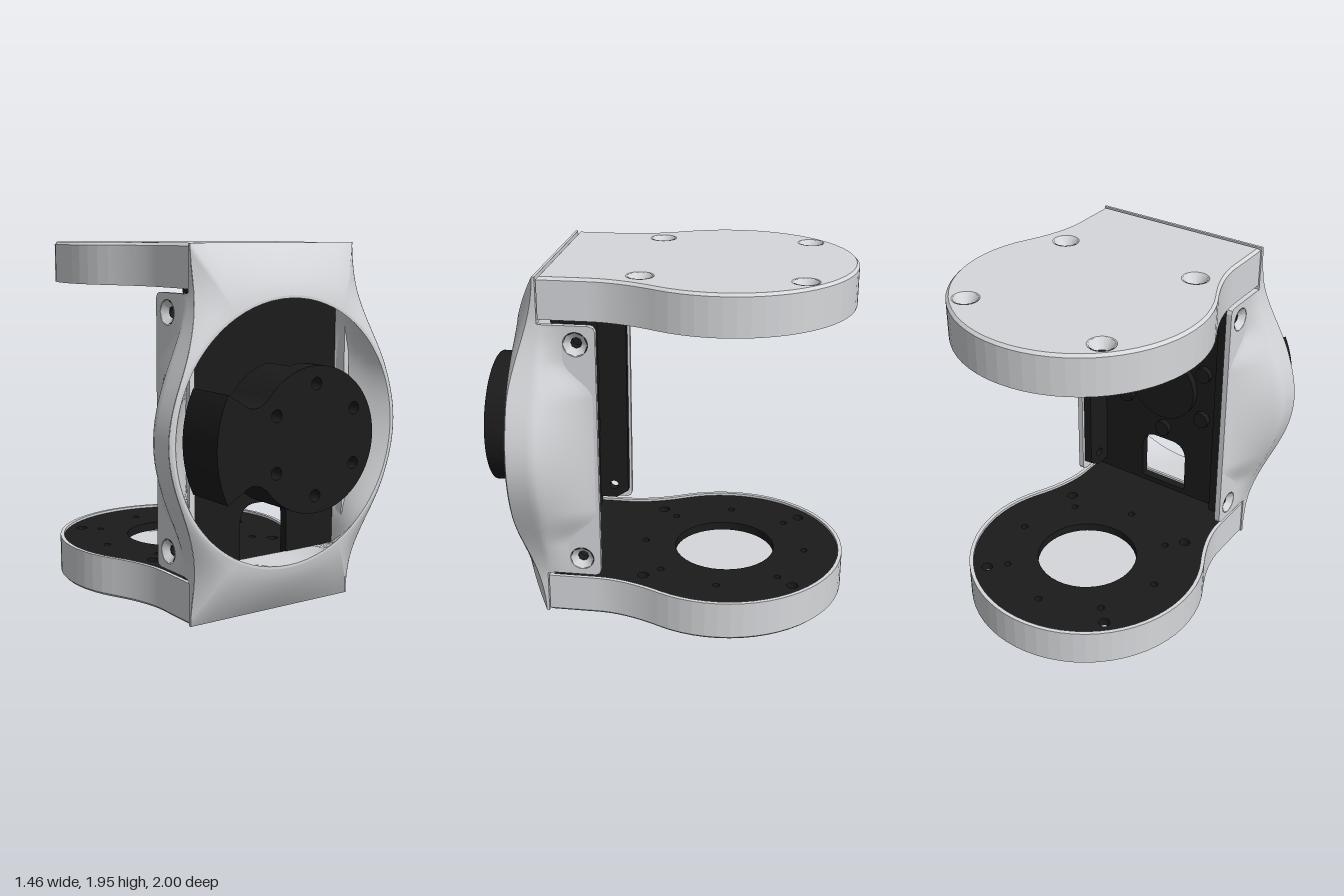
import * as THREE from 'three';

const shell = new THREE.MeshStandardMaterial({ color: 0xd5d7da, side: THREE.DoubleSide });
shell.name = 'light grey shell';
const metal = new THREE.MeshStandardMaterial({ color: 0x1b1b1b });
metal.name = 'black metal';

const { PI, cos, sin, abs, hypot } = Math;
const clamp = THREE.MathUtils.clamp, lerp = THREE.MathUtils.lerp, smooth = THREE.MathUtils.smoothstep;

function add(parent, name, geometry, material, x = 0, y = 0, z = 0) {
  const mesh = new THREE.Mesh(geometry, material);
  mesh.name = name;
  mesh.position.set(x, y, z);
  parent.add(mesh);
  return mesh;
}

const extrude = (shape, depth, options = {}) =>
  new THREE.ExtrudeGeometry(shape, { depth, bevelEnabled: false, curveSegments: 20, ...options });

function drill(shape, x, y, r) {
  shape.holes.push(new THREE.Path().absarc(x, y, r, 0, 2 * PI, true));
}

function polygon(points) {
  return new THREE.Shape(points.map(([x, y]) => new THREE.Vector2(x, y)));
}

// Smooth sheet through a grid of points: at(i, j) returns [x, y, z]
function sheet(at, nu, nv) {
  const pos = [], idx = [];
  for (let i = 0; i <= nu; i++) for (let j = 0; j <= nv; j++) pos.push(...at(i, j));
  for (let i = 0; i < nu; i++) for (let j = 0; j < nv; j++) {
    const a = i * (nv + 1) + j, b = a + nv + 1;
    idx.push(a, b, a + 1, b, b + 1, a + 1);
  }
  const g = new THREE.BufferGeometry();
  g.setAttribute('position', new THREE.Float32BufferAttribute(pos, 3));
  g.setIndex(idx);
  g.computeVertexNormals();
  return g;
}

// Arm outline, a round paddle with a neck, inset by d (shape y is -z)
function paddle(d, Type = THREE.Shape) {
  const r = 0.69 - d, w = 0.515 - d, a = -0.466, s = new Type();
  const px = r * cos(a), py = 0.31 + r * sin(a);
  const cy = py - (px - w) / -sin(a) * cos(a);
  s.moveTo(-w, -0.63 + d);
  s.lineTo(w, -0.63 + d);
  s.lineTo(w, -0.36);
  s.quadraticCurveTo(w, cy, px, py);
  s.absarc(0, 0.31, r, a, PI - a, false);
  s.quadraticCurveTo(-w, cy, -w, -0.36);
  s.lineTo(-w, -0.63 + d);
  return s;
}

// One arm with its cap on top; heights are measured from the model's middle
function buildArm(name, bigHole) {
  const arm = new THREE.Group();
  arm.name = name;
  const layer = (part, shape, y, depth, material, options) =>
    add(arm, part, extrude(shape, depth, options).rotateX(-PI / 2), material, 0, y, 0);
  const screws = [[-0.415, 0.73], [0.415, 0.73], [-0.415, -0.11], [0.415, -0.11]];

  const cap = paddle(0), plate = paddle(0.022), rim = paddle(0);
  rim.holes.push(paddle(0.022, THREE.Path));
  for (const [x, y] of screws) {
    drill(cap, x, y, 0.058);
    drill(plate, x, y, 0.032);
    add(arm, 'screwSeat', new THREE.CylinderGeometry(0.068, 0.032, 0.05, 12, 1, true), shell, x, 0.95, -y);
  }
  // Mounting holes in the inner plate
  if (bigHole) drill(plate, 0, 0.31, 0.29);
  for (let i = 0; i < 8; i++) {
    const a = i * PI / 4, r = i % 2 || bigHole ? 0.47 : 0.24;
    drill(plate, r * cos(a), 0.31 + r * sin(a), 0.02);
  }
  layer('armCap', cap, 0.94, 0.02, shell,
    { bevelEnabled: true, bevelThickness: 0.015, bevelSize: 0.015, bevelOffset: -0.015, bevelSegments: 1 });
  layer('armRim', rim, 0.75, 0.205, shell);
  layer('armPlate', plate, 0.765, 0.05, metal);
  return arm;
}

// Outline of the front cover: half width and front edge depth at height y
const swell = y => abs(y) < 0.8 ? 0.105 * (1 + cos(PI * y / 0.8)) : 0;
const halfWidth = y => 0.52 + swell(y);
const edgeZ = y => 0.65 + 0.13 * (1 - smooth(abs(y), 0.3, 0.975));

function buildCover() {
  const cover = new THREE.Group();
  cover.name = 'frontCover';
  const N = 40, M = 12, H = 0.975, outline = [];
  for (let i = 0; i < N; i++) { const y = lerp(-H, H, i / N); outline.push([halfWidth(y), y]); }
  for (let i = 0; i < M; i++) outline.push([lerp(0.52, -0.52, i / M), H]);
  for (let i = 0; i < N; i++) { const y = lerp(H, -H, i / N); outline.push([-halfWidth(y), y]); }
  for (let i = 0; i <= M; i++) outline.push([lerp(-0.52, 0.52, i / M), -H]);
  const n = outline.length - 1;

  // Face from the round opening to the outline
  add(cover, 'coverFace', sheet((i, j) => {
    const [x, y] = outline[i], k = j / 8, s = lerp(0.712 / hypot(x, y), 1, k);
    return [x * s, y * s, 0.79 - (0.79 - edgeZ(y)) * k ** 1.4];
  }, n, 8), shell);
  // Lip and inner wall of the opening
  add(cover, 'openingLip', sheet((i, j) => {
    const [x, y] = outline[i], s = (j ? 0.698 : 0.712) / hypot(x, y);
    return [x * s, y * s, 0.79];
  }, n, 1), shell);
  add(cover, 'openingWall', sheet((i, j) => {
    const [x, y] = outline[i], k = j / 4, s = 0.698 / hypot(x, y);
    return [lerp(x * s, clamp(x, -0.48, 0.48), k), lerp(y * s, clamp(y, -0.7, 0.7), k), lerp(0.79, 0.56, k)];
  }, n, 4), shell);

  for (const s of [1, -1]) {
    const side = new THREE.Group();
    side.name = s > 0 ? 'leftSide' : 'rightSide';
    side.scale.x = s;
    cover.add(side);
    // Swelling flank
    add(side, 'flank', sheet((i, j) => {
      const y = lerp(-H, H, i / 80);
      const z0 = abs(y) > 0.725 ? 0.635 : lerp(0.35, 0.505, smooth(abs(y), 0.33, 0.54));
      const z = lerp(z0, edgeZ(y), j / 16);
      const u = z0 > 0.63 ? 1 : clamp((z - z0) / (0.63 - z0), 0, 1);
      return [0.521 + swell(y) * u ** 1.3, y, z];
    }, 80, 16), shell);
    // Flat side panel with rounded rear corners (shape x is -z)
    const panel = polygon([[-0.64, -0.725], [-0.36, -0.725], [-0.339, -0.716], [-0.33, -0.695],
      [-0.33, 0.695], [-0.339, 0.716], [-0.36, 0.725], [-0.64, 0.725]]);
    for (const y of [-0.625, 0.625]) {
      drill(panel, -0.435, y, 0.066);
      const seat = add(side, 'sideScrewSeat', new THREE.CylinderGeometry(0.066, 0.03, 0.032, 8, 1, true), shell, 0.504, y, 0.435);
      seat.rotation.z = -PI / 2;
    }
    add(side, 'sidePanel', extrude(panel, 0.032).rotateY(PI / 2), shell, 0.488, 0, 0);
    // Backing above and below the opening
    add(cover, 'coverBack', new THREE.BoxGeometry(1.04, 0.25, 0.015), shell, 0, s * 0.85, 0.6425);
  }
  return cover;
}

function buildBracket() {
  const bracket = new THREE.Group();
  bracket.name = 'bracket';
  // Upright plate with an arched cable slot
  const plate = polygon([[-0.48, -0.77], [0.48, -0.77], [0.48, 0.77], [-0.48, 0.77]]);
  const slot = new THREE.Path();
  slot.moveTo(-0.155, -0.73);
  slot.lineTo(-0.155, -0.5);
  slot.quadraticCurveTo(-0.15, -0.405, -0.06, -0.4);
  slot.lineTo(0.06, -0.4);
  slot.quadraticCurveTo(0.15, -0.405, 0.155, -0.5);
  slot.lineTo(0.155, -0.73);
  slot.closePath();
  plate.holes.push(slot);
  add(bracket, 'uprightPlate', extrude(plate, 0.05), metal, 0, 0, 0.52);
  // Side flanges with chamfered corners
  for (const s of [1, -1]) {
    const flange = polygon([[-0.56, -0.71], [-0.42, -0.71], [-0.345, -0.66], [-0.345, 0.66], [-0.42, 0.71], [-0.56, 0.71]]);
    for (const y of [-0.625, 0.625]) drill(flange, -0.435, y, 0.028);
    add(bracket, 'flange', extrude(flange, 0.05).rotateY(PI / 2), metal, s > 0 ? 0.435 : -0.485, 0, 0);
  }
  // Hub and bolts on the rear
  add(bracket, 'rearHub', new THREE.CylinderGeometry(0.22, 0.22, 0.05, 32).rotateX(PI / 2), metal, 0, 0, 0.505);
  for (let i = 0; i < 6; i++) {
    const a = i * PI / 3 + PI / 6;
    add(bracket, 'rearBolt', new THREE.CylinderGeometry(0.05, 0.05, 0.04, 8).rotateX(PI / 2), metal,
      0.31 * cos(a), 0.31 * sin(a), 0.505);
  }
  return bracket;
}

// Disc with a fan-shaped tab; a is where the disc edge begins
function hornShape(a) {
  const s = new THREE.Shape(), join = 142 * PI / 180, fan = 0.4636;
  s.absarc(0, 0, 0.375, a, join, false);
  s.quadraticCurveTo(-0.37, 0.165, -0.43, 0.205);
  s.lineTo(-0.53, 0.265);
  s.absarc(0, 0, 0.6, PI - fan, PI + fan, false);
  s.lineTo(-0.43, -0.205);
  s.quadraticCurveTo(-0.37, -0.165, 0.375 * cos(join), -0.375 * sin(join));
  s.absarc(0, 0, 0.375, 2 * PI - join, 2 * PI - a, false);
  s.closePath();
  return s;
}

function buildHorn() {
  const horn = new THREE.Group();
  horn.name = 'rotaryHorn';
  const face = hornShape(0);
  for (let i = 0; i < 6; i++) {
    const a = i * PI / 3 + PI / 6;
    drill(face, 0.285 * cos(a), 0.285 * sin(a), 0.032);
    add(horn, 'hornBolt', new THREE.CylinderGeometry(0.045, 0.045, 0.03, 6).rotateX(PI / 2), metal,
      0.27 * cos(a), 0.27 * sin(a), 0.77);
  }
  add(horn, 'hornFace', extrude(face, 0.12), metal, 0, 0, 0.88);
  add(horn, 'hornBlock', extrude(hornShape(1.786), 0.18), metal, 0, 0, 0.7);
  add(horn, 'hornBase', new THREE.CylinderGeometry(0.34, 0.34, 0.1, 40).rotateX(PI / 2), metal, 0, 0, 0.71);
  add(horn, 'hornShaft', new THREE.CylinderGeometry(0.28, 0.28, 0.12, 32).rotateX(PI / 2), metal, 0, 0, 0.61);
  return horn;
}

export function createModel() {
  const model = new THREE.Group();
  model.name = 'bracketAssembly';
  const body = new THREE.Group();
  body.name = 'body';
  body.position.y = 0.975;
  const lower = buildArm('lowerArm', true);
  lower.scale.y = -1;
  body.add(buildArm('upperArm', false), lower, buildCover(), buildBracket(), buildHorn());
  model.add(body);
  return model;
}
